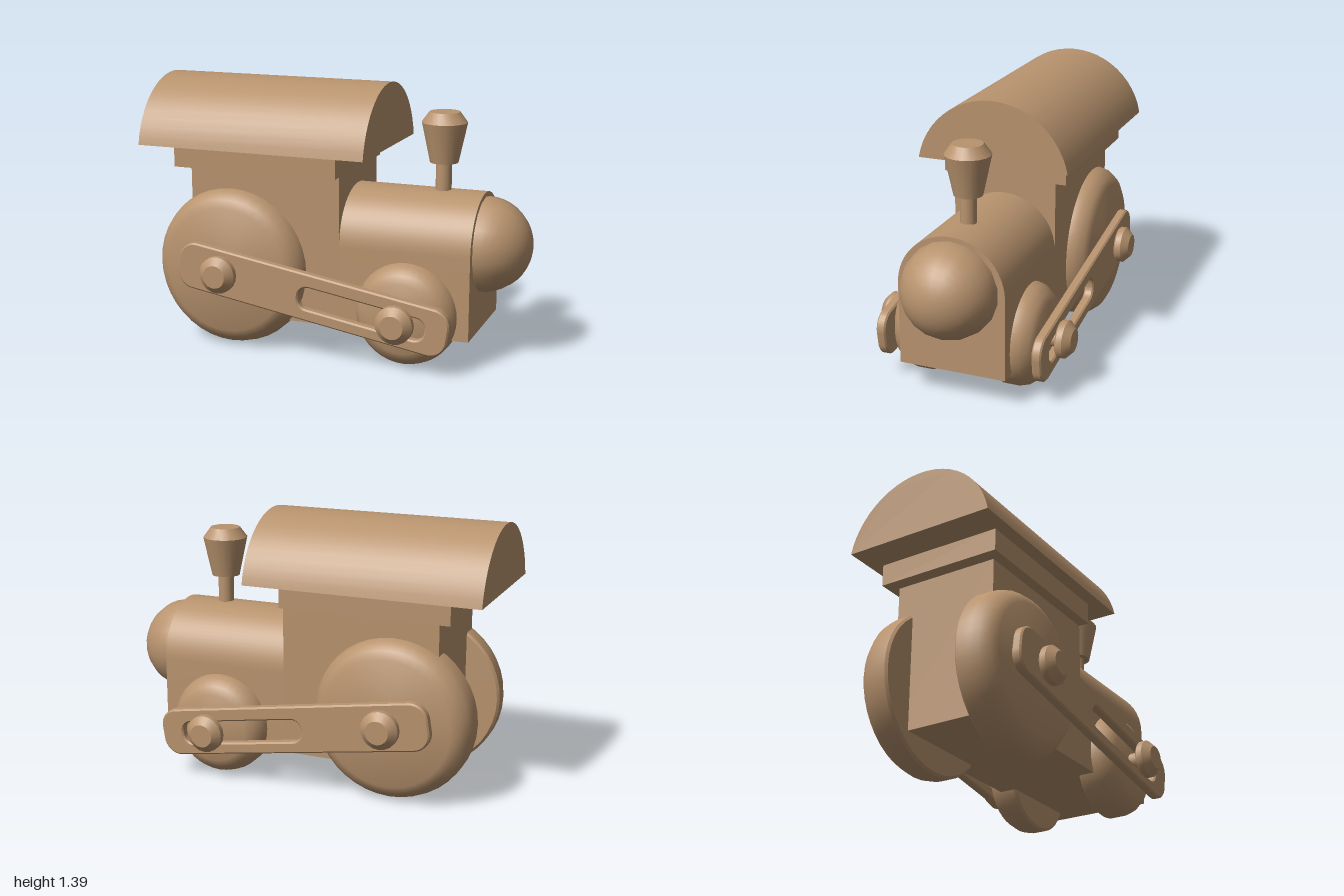
import * as THREE from 'three';
import { toCreasedNormals } from 'three/addons/utils/BufferGeometryUtils.js';

const wood = new THREE.MeshStandardMaterial({ color: 0xb8936e });
wood.name = 'wood';

export function createModel() {
  const model = new THREE.Group();
  model.name = 'toyTrain';

  const add = (name, geometry, x = 0, y = 0, z = 0) => {
    const mesh = new THREE.Mesh(geometry, wood);
    mesh.name = name;
    mesh.position.set(x, y, z);
    model.add(mesh);
    return mesh;
  };
  const box = (name, x0, x1, y0, y1, halfZ) =>
    add(name, new THREE.BoxGeometry(x1 - x0, y1 - y0, halfZ * 2), (x0 + x1) / 2, (y0 + y1) / 2);

  // Turned part from [radius, height] pairs, listed upward
  const turned = (points, sides, crease = 0.6) => toCreasedNormals(
    new THREE.LatheGeometry(points.map(([r, h]) => new THREE.Vector2(r, h)), sides), crease);

  // Cross-section swept along x
  const sweep = (shape, length, curveSegments) => toCreasedNormals(
    new THREE.ExtrudeGeometry(shape, { depth: length, bevelEnabled: false, curveSegments }), 0.6)
    .rotateY(Math.PI / 2);

  // Cab and roof
  box('cab', -0.76, 0.065, 0.155, 0.94, 0.28);
  box('roofSupport', -0.83, 0.065, 0.94, 1.057, 0.335);
  const roof = new THREE.Shape();
  const lean = Math.asin(0.075 / 0.41);
  roof.absarc(0, 0.98, 0.41, lean, Math.PI - lean, false);
  roof.closePath();
  add('roof', sweep(roof, 1.235, 12), -1);

  // Boiler with a round top and a domed nose
  const boiler = new THREE.Shape();
  boiler.moveTo(-0.28, 0.155);
  boiler.lineTo(0.28, 0.155);
  boiler.absarc(0, 0.58, 0.28, 0, Math.PI, false);
  boiler.closePath();
  add('boiler', sweep(boiler, 0.685, 20), 0.065);
  add('nose', new THREE.SphereGeometry(0.245, 18, 10, 0, Math.PI * 2, 0, Math.PI / 2)
    .rotateZ(-Math.PI / 2), 0.75, 0.593);

  // Chimney
  add('chimneyStem', new THREE.CylinderGeometry(0.041, 0.041, 0.2, 16), 0.527, 0.92);
  add('chimneyFunnel',
    turned([[0, 1], [0.073, 1], [0.117, 1.205], [0.078, 1.258], [0, 1.258]], 18), 0.527);

  // Wheels, axles and pegs, mirrored on both sides
  const wheel = (r) => turned([[0, 0.19], [r - 0.012, 0.19], [r, 0.202], [r, 0.275],
    [r - 0.012, 0.318], [r - 0.045, 0.36], [r - 0.085, 0.381], [0, 0.381]], 40, 0.7)
    .rotateX(Math.PI / 2);
  const peg = turned([[0, 0.443], [0.088, 0.443], [0.097, 0.452], [0.097, 0.482],
    [0.06, 0.518], [0, 0.518]], 20).rotateX(Math.PI / 2);
  const axles = [
    { end: 'rear', x: -0.53, y: 0.422, r: 0.415 },
    { end: 'front', x: 0.425, y: 0.268, r: 0.266 },
  ];
  for (const { end, x, y, r } of axles) {
    add(end + 'Axle', new THREE.CylinderGeometry(0.045, 0.045, 0.9, 16).rotateX(Math.PI / 2), x, y);
    for (const [side, turn] of [['Left', 0], ['Right', Math.PI]]) {
      add(end + 'Wheel' + side, wheel(r), x, y).rotation.y = turn;
      add(end + 'Peg' + side, peg, x, y).rotation.y = turn;
    }
  }

  // Slotted connecting rods
  const pill = (Target, x0, x1, y0, y1, r) => {
    const p = new Target();
    p.absarc(x1 - r, y1 - r, r, 0, Math.PI / 2, false);
    p.absarc(x0 + r, y1 - r, r, Math.PI / 2, Math.PI, false);
    p.absarc(x0 + r, y0 + r, r, Math.PI, Math.PI * 1.5, false);
    p.absarc(x1 - r, y0 + r, r, Math.PI * 1.5, Math.PI * 2, false);
    p.closePath();
    return p;
  };
  const rodShape = pill(THREE.Shape, -0.24, 1.235, -0.124, 0.122, 0.09);
  rodShape.holes.push(pill(THREE.Path, 0.437, 1.115, -0.064, 0.052, 0.052));
  const rod = toCreasedNormals(new THREE.ExtrudeGeometry(rodShape, {
    depth: 0.034, bevelThickness: 0.008, bevelSize: 0.008, bevelOffset: -0.008,
    bevelSegments: 1, curveSegments: 6,
  }), 0.6).translate(0, 0, -0.017);
  for (const [side, s] of [['Left', 1], ['Right', -1]]) {
    add('connectingRod' + side, rod, -0.53, 0.422, s * 0.416).rotation.z = Math.atan2(-0.154, 0.955);
  }

  return model;
}
